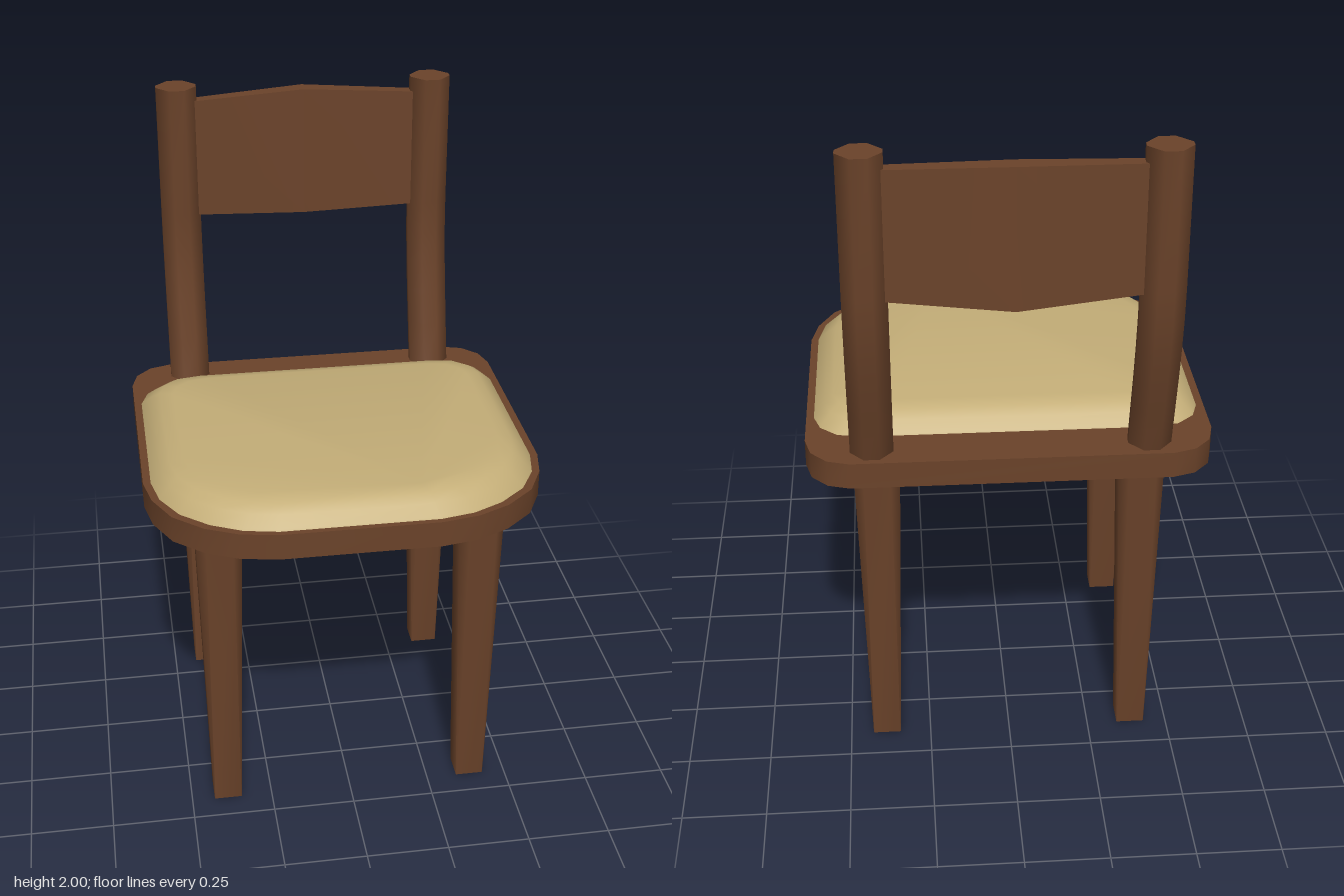
import * as THREE from 'three';
import { toCreasedNormals } from 'three/addons/utils/BufferGeometryUtils.js';

const wood = new THREE.MeshStandardMaterial({ color: 0x6b432a });
const fabric = new THREE.MeshStandardMaterial({ color: 0xc4ae78 });

// Closed solid through equal-length rings of [x, y, z] points
function loft(rings, crease = 0.9) {
  const n = rings[0].length, pos = [], index = [];
  rings.forEach(r => r.forEach(p => pos.push(...p)));
  for (let i = 0; i < rings.length - 1; i++) {
    for (let j = 0; j < n; j++) {
      const a = i * n + j, b = i * n + (j + 1) % n;
      index.push(a, b, b + n, a, b + n, a + n);
    }
  }
  const last = (rings.length - 1) * n;
  for (let j = 1; j < n - 1; j++) {
    index.push(0, j + 1, j, last, last + j, last + j + 1);
  }
  const g = new THREE.BufferGeometry();
  g.setAttribute('position', new THREE.Float32BufferAttribute(pos, 3));
  g.setIndex(index);
  return toCreasedNormals(g, crease);
}

// Full outline from its +x half, listed front to back
const mirror = half => [...half, ...half.map(([x, z]) => [-x, z]).reverse()];

// Octagon with half sizes w, d and half flats fx, fz
const octagon = (w, d, fx, fz) => mirror([[fx, d], [w, fz], [w, -fz], [fx, -d]]);

const ring = (outline, x, y, z) => outline.map(p => [x + p[0], y, z + p[1]]);

export function createModel() {
  const group = new THREE.Group();
  const add = (name, geometry, material = wood) => {
    const mesh = new THREE.Mesh(geometry, material);
    mesh.name = name;
    group.add(mesh);
  };

  // Seat board, rounder at the front
  const board = mirror([
    [0.23, 0.6], [0.34, 0.58], [0.435, 0.535], [0.52, 0.46], [0.57, 0.36], [0.59, 0.26],
    [0.59, -0.38], [0.572, -0.45], [0.525, -0.5], [0.46, -0.52],
  ]);
  add('seatBoard', loft([ring(board, 0, 0.985, 0), ring(board, 0, 1.065, 0)]));

  // Cushion with a rounded rim, inset ring by ring
  const pad = mirror([
    [0.23, 0.585], [0.33, 0.565], [0.42, 0.52], [0.5, 0.45], [0.55, 0.36], [0.57, 0.26],
    [0.57, -0.25], [0.55, -0.31], [0.5, -0.355], [0.42, -0.37],
  ]);
  const midZ = 0.1075;
  const padRings = [[1.06, 0], [1.07, 0.005], [1.1, 0.035], [1.12, 0.06], [1.13, 0.1]].map(([y, d]) =>
    pad.map(([x, z]) => [x * (1 - d / 0.57), y, midZ + (z - midZ) * (1 - d / 0.4775)]));
  add('cushion', loft(padRings), fabric);

  // Tapered legs: square feet growing rounder towards the seat
  const legProfile = [[0, 0.043, 0.041], [0.94, 0.067, 0.04], [0.97, 0.07, 0.035], [1.0, 0.078, 0.035]];
  for (const side of [1, -1]) {
    const label = side > 0 ? 'Left' : 'Right';
    for (const [name, z] of [['front', 0.38], ['back', -0.36]]) {
      add(`${name}Leg${label}`, loft(legProfile.map(([y, w, f]) =>
        ring(octagon(w, w, f, f), side * 0.387, y, z))));
    }

    // Octagonal back post, leaning back and then rising straight
    const path = [[1.03, -0.435], [1.2, -0.477], [1.3, -0.502], [1.4, -0.523],
      [1.5, -0.538], [1.6, -0.544], [2.0, -0.544]];
    add(`backPost${label}`, loft(path.map(([y, z]) =>
      ring(octagon(0.062, 0.057, 0.023, 0.012), side * 0.398, y, z))));
  }

  // Backrest panel, bowed to the rear at its middle
  const panel = [[-0.39, 1.588, 1.953, -0.559, -0.521], [0, 1.565, 1.97, -0.605, -0.55],
    [0.39, 1.588, 1.953, -0.559, -0.521]];
  add('backrest', loft(panel.map(([x, low, high, back, front]) =>
    [[x, high, back], [x, high, front], [x, low, front], [x, low, back]])));

  return group;
}
